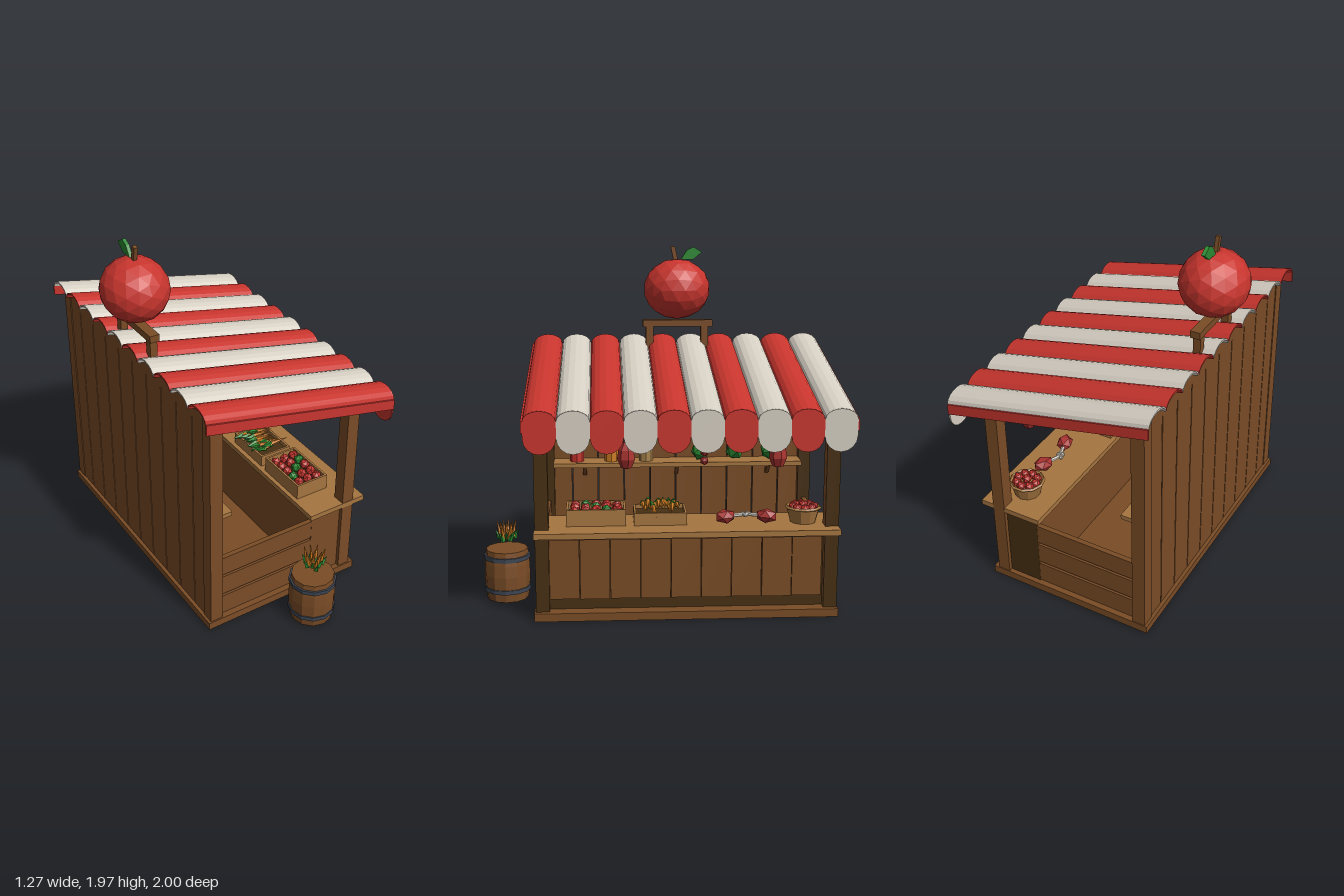
import * as THREE from 'three';

const mat = (name, color) => Object.assign(new THREE.MeshStandardMaterial({ color }), { name });
const wood = mat('wood', 0x7a4c26), lightWood = mat('lightWood', 0xa67540), darkWood = mat('darkWood', 0x462f12);
const red = mat('red', 0xc8352e), white = mat('white', 0xd6cfc3), green = mat('green', 0x2b8a32);
const orange = mat('orange', 0xcb7a22), iron = mat('iron', 0x3d4552), meat = mat('meat', 0xa8322f), tan = mat('tan', 0xa8834c);
const shadedFront = [darkWood, wood, wood, wood, wood, wood];
const CZ = -0.133; // middle of the stall along z

// faceted normals
function flat(g) {
  const f = g.index ? g.toNonIndexed() : g;
  f.computeVertexNormals();
  return f;
}

export function createModel() {
  const root = new THREE.Group();
  root.name = 'marketStall';
  let seed = 7;
  const rnd = () => (seed = (seed * 16807) % 2147483647) / 2147483647;

  const add = (name, geo, material, x = 0, y = 0, z = 0, parent = root) => {
    const m = new THREE.Mesh(geo, material);
    m.name = name;
    m.position.set(x, y, z);
    parent.add(m);
    return m;
  };
  const box = (name, material, x0, x1, y0, y1, z0, z1) =>
    add(name, new THREE.BoxGeometry(x1 - x0, y1 - y0, z1 - z0), material, (x0 + x1) / 2, (y0 + y1) / 2, (z0 + z1) / 2);
  const ball = (name, material, r, x, y, z, detail = 0) =>
    add(name, flat(new THREE.IcosahedronGeometry(r, detail)), material, x, y, z);
  const cyl = (name, material, rt, rb, h, sides, x, y, z) =>
    add(name, flat(new THREE.CylinderGeometry(rt, rb, h, sides)), material, x, y, z);

  // floor and corner posts
  box('floor', wood, -0.515, 0.465, 0, 0.045, -0.957, 0.69);
  for (const z of [0.645, -0.915]) {
    box('frontPost', shadedFront, 0.365, 0.437, 0.045, 1.14, z - 0.037, z + 0.037);
    box('backPost', shadedFront, -0.5, -0.425, 0.045, 1.34, z - 0.037, z + 0.037);
  }

  // upright planks of the back wall
  for (let i = 0; i < 10; i++) {
    const z = 0.655 - i * 0.1575;
    box('backPlank', wood, -0.495, -0.47, 0.045, 1.33, z - 0.1515, z);
  }

  // low side walls
  for (const z of [0.645, -0.915])
    for (const [y0, y1] of [[0.05, 0.172], [0.188, 0.31], [0.325, 0.44]])
      box('sidePlank', wood, -0.43, 0.18, y0, y1, z - 0.014, z + 0.014);

  // counter
  box('counterBody', [darkWood, wood, wood, wood, wood, darkWood], 0.172, 0.39, 0.045, 0.47, -0.93, 0.66);
  box('counterTop', lightWood, 0.148, 0.513, 0.472, 0.503, -0.95, 0.685);
  for (let i = 0; i < 9; i++) {
    const z = 0.608 - i * 0.1645;
    box('counterPanel', wood, 0.385, 0.405 + (i % 2) * 0.006, 0.105, 0.445, z - 0.161, z);
  }
  box('counterRail', wood, 0.385, 0.42, 0.44, 0.474, -0.88, 0.61);

  // roof frame
  const slope = -0.22, roofY = 1.265;
  const shear = new THREE.Matrix4().makeShear(slope, 0, 0, 0, 0, 0);
  const sloped = (name, geo, material, z, y = roofY) => add(name, geo.applyMatrix4(shear), material, 0, y, z);
  for (const z of [0.645, -0.915])
    sloped('rafter', new THREE.BoxGeometry(0.9, 0.06, 0.06).translate(-0.04, -0.042, 0), wood, z);
  box('frontBeam', wood, 0.37, 0.43, 1.105, 1.17, -0.95, 0.685);
  box('backBeam', wood, -0.495, -0.43, 1.295, 1.36, -0.95, 0.685);

  // striped awning with hanging scallops
  const W = 0.1715, H = 0.056, N = 8;
  const arc = (w, h, y = 0) => Array.from({ length: N + 1 }, (_, i) => {
    const a = (i / N) * Math.PI;
    return new THREE.Vector2(Math.cos(a) * w / 2, y + Math.sin(a) * h);
  });
  const extrudeX = (points, depth, x) =>
    new THREE.ExtrudeGeometry(new THREE.Shape(points), { depth, bevelEnabled: false }).rotateY(Math.PI / 2).translate(x, 0, 0);
  for (let i = 0; i < 10; i++) {
    const z = 0.722 - W * (i + 0.5), m = i % 2 ? white : red;
    const arch = [...arc(W, H), ...arc(W - 0.012, H - 0.01).reverse()];
    sloped('awningStripe', extrudeX(arch, 1.175, -0.547), m, z);
    const flap = [...arc(W, H), ...arc(W, -0.085, -0.085).reverse()];
    add('scallop', extrudeX(flap, 0.009, 0.627), m, 0, roofY + slope * 0.63, z);
  }
  for (const z of [0.726, -0.996])
    sloped('awningEdge', new THREE.BoxGeometry(1.18, 0.06, 0.009).translate(0.043, -0.028, 0), red, z);

  // roof sign: a big fruit on a stand
  box('signBeam', wood, -0.483, -0.428, 1.495, 1.535, -0.345, 0.07);
  for (const z of [0.03, -0.298]) box('signLeg', wood, -0.475, -0.433, 1.34, 1.495, z - 0.022, z + 0.022);
  const fruit = ball('signFruit', red, 0.19, -0.455, 1.717, CZ, 2);
  fruit.scale.set(0.98, 0.935, 1.03);
  const stem = add('signStem', new THREE.BoxGeometry(0.022, 0.11, 0.026), wood, -0.455, 1.912, -0.12);
  stem.rotation.x = 0.22;
  const leafShape = new THREE.Shape([[0, 0], [0.035, 0.055], [0.075, 0.075], [0.125, 0.045], [0.075, 0.002]].map(p => new THREE.Vector2(...p)));
  add('signLeaf', new THREE.ExtrudeGeometry(leafShape, { depth: 0.02, bevelEnabled: false }).rotateY(Math.PI / 2),
    green, -0.465, 1.888, -0.155);

  // shelf with brackets, jars and cabbages
  box('shelf', lightWood, -0.47, -0.322, 0.664, 0.69, -0.88, 0.61);
  for (const z of [0.425, CZ, -0.69]) {
    const b = add('shelfBracket', new THREE.BoxGeometry(0.13, 0.022, 0.022), wood, -0.425, 0.632, z);
    b.rotation.z = -Math.PI / 5;
    b.rotation.z *= -1;
  }
  [[0.47, red], [0.263, orange], [0.055, tan]].forEach(([z, m]) => {
    cyl('jar', m, 0.042, 0.042, 0.105, 8, -0.4, 0.742, z);
    cyl('jarLid', white, 0.046, 0.046, 0.018, 8, -0.4, 0.803, z);
  });
  for (const z of [-0.274, -0.484, -0.695]) {
    const c = ball('cabbage', green, 0.058, -0.395, 0.746, z);
    c.rotation.set(0.2, z * 5, 0);
  }

  // open crates on the counter
  const crate = (x0, x1, y1, z0, z1) => {
    const y0 = 0.503, t = 0.012;
    for (const x of [x0, x1 - t]) box('crateSide', lightWood, x, x + t, y0, y1, z0, z1);
    for (const z of [z0, z1 - t]) box('crateEnd', lightWood, x0 + t, x1 - t, y0, y1, z, z + t);
    box('crateFill', darkWood, x0 + t, x1 - t, y0, y0 + 0.045, z0 + t, z1 - t);
  };
  crate(0.172, 0.375, 0.594, 0.194, 0.516);
  crate(0.175, 0.375, 0.572, -0.137, 0.15);
  for (let i = 0; i < 5; i++)
    for (let j = 0; j < 3; j++) {
      const t = ball('tomato', (i + j) % 4 === 3 ? green : red, 0.03, 0.215 + j * 0.06, 0.574 + rnd() * 0.012, 0.24 + i * 0.057);
      t.rotation.set(rnd() * 3, rnd() * 3, 0);
    }
  for (let i = 0; i < 14; i++) {
    const g = new THREE.Group();
    g.name = 'crateCarrot';
    g.position.set(0.21 + rnd() * 0.1, 0.57 + rnd() * 0.035, -0.09 + (i / 13) * 0.19);
    g.rotation.set((rnd() - 0.5) * 1.6, 0, 1.2 + rnd() * 0.5);
    root.add(g);
    add('carrotRoot', flat(new THREE.ConeGeometry(0.016, 0.13, 5)), orange, 0, -0.03, 0, g).rotation.x = Math.PI;
    add('carrotLeaves', flat(new THREE.ConeGeometry(0.02, 0.07, 4)), green, 0, 0.06, 0, g);
  }

  // joints of meat on the counter
  for (const [z, turn] of [[-0.345, 0.35], [-0.57, -0.4]]) {
    const g = new THREE.Group();
    g.name = 'meatJoint';
    g.position.set(0.36, 0.545, z);
    g.rotation.y = turn + (z < -0.5 ? Math.PI : 0);
    root.add(g);
    add('meatBody', flat(new THREE.IcosahedronGeometry(0.05, 0)), meat, 0, 0, 0, g).scale.set(0.95, 0.8, 1.25);
    const bone = add('bone', flat(new THREE.CylinderGeometry(0.011, 0.011, 0.08, 6)), white, 0, 0, -0.075, g);
    bone.rotation.x = Math.PI / 2;
    for (const x of [-0.011, 0.011]) add('boneKnob', flat(new THREE.IcosahedronGeometry(0.015, 0)), white, x, 0, -0.112, g);
  }

  // basket of fruit
  cyl('basket', lightWood, 0.09, 0.07, 0.075, 10, 0.33, 0.541, -0.775);
  const rim = add('basketRim', flat(new THREE.TorusGeometry(0.091, 0.01, 4, 10)), lightWood, 0.33, 0.585, -0.775);
  rim.rotation.x = Math.PI / 2;
  for (let i = 0; i < 9; i++) {
    const r = i ? 0.056 : 0, a = i * Math.PI / 4;
    ball('basketFruit', red, 0.027, 0.33 + r * Math.cos(a), i ? 0.588 : 0.598, -0.775 + r * Math.sin(a));
  }

  // hams and sausages hanging from the front beam
  for (const z of [0.19, -0.62]) {
    cyl('hamString', white, 0.005, 0.005, 0.17, 5, 0.4, 1.03, z);
    const profile = [[0, -0.075], [0.03, -0.068], [0.05, -0.02], [0.042, 0.03], [0.018, 0.07], [0, 0.075]];
    add('ham', flat(new THREE.LatheGeometry(profile.map(p => new THREE.Vector2(...p)), 7)), meat, 0.4, 0.9, z);
  }
  cyl('sausageString', white, 0.004, 0.004, 0.26, 5, 0.4, 0.98, -0.225);
  for (let i = 0; i < 3; i++) ball('sausage', meat, 0.024, 0.4, 0.865 + i * 0.046, -0.225).scale.y = 1.05;

  // barrel with carrots
  const staves = [[0, 0], [0.118, 0], [0.127, 0.08], [0.13, 0.145], [0.127, 0.21], [0.118, 0.288], [0, 0.288]];
  add('barrel', flat(new THREE.LatheGeometry(staves.map(p => new THREE.Vector2(...p)), 12)), wood, 0.04, 0, 0.865);
  for (const y of [0.06, 0.246]) cyl('barrelHoop', iron, 0.132, 0.132, 0.024, 12, 0.04, y, 0.865);
  for (let i = 0; i < 9; i++) {
    const a = i * 2.4, r = 0.018 * Math.sqrt(i);
    const x = 0.04 + r * Math.cos(a), z = 0.865 + r * Math.sin(a);
    const c = cyl('barrelCarrot', orange, 0.002, 0.014, 0.1, 5, x, 0.395, z);
    c.rotation.set(Math.sin(a) * 0.22, 0, -Math.cos(a) * 0.22);
    const l = cyl('barrelCarrotLeaves', green, 0, 0.016, 0.055, 4, x + 0.01 * Math.cos(a), 0.365, z + 0.01 * Math.sin(a));
    l.rotation.set(Math.sin(a) * 0.5, 0, -Math.cos(a) * 0.5);
  }
  return root;
}
